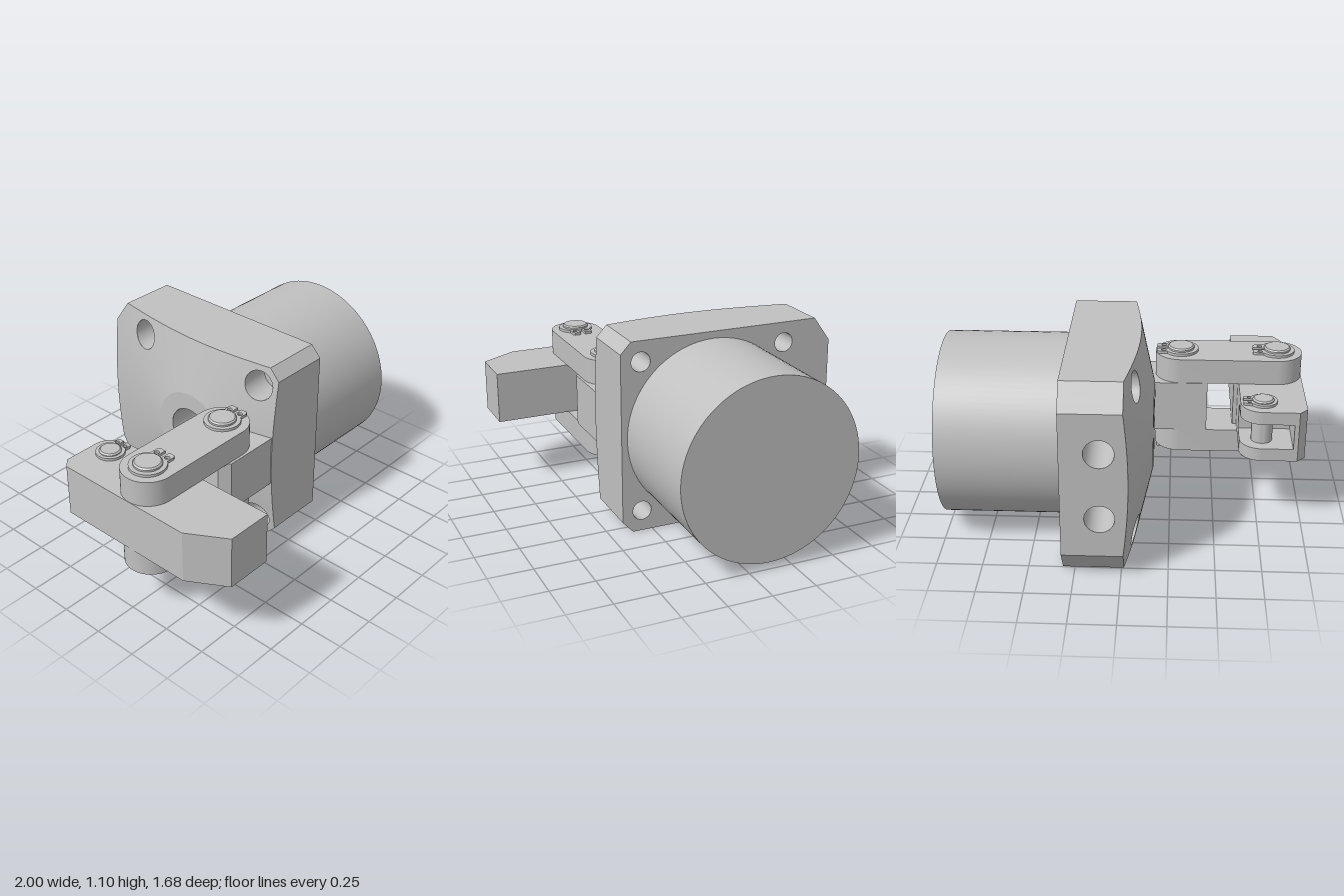
import * as THREE from 'three';
import { toCreasedNormals } from 'three/addons/utils/BufferGeometryUtils.js';

const steel = new THREE.MeshStandardMaterial({ color: 0xc0c0c0, side: THREE.DoubleSide });
steel.name = 'steel';

function add(parent, name, geometry) {
  const mesh = new THREE.Mesh(geometry, steel);
  mesh.name = name;
  parent.add(mesh);
  return mesh;
}

const polygon = pts => new THREE.Shape(pts.map(p => new THREE.Vector2(...p)));
const circle = (x, y, r) => new THREE.Path().absarc(x, y, r, 0, Math.PI * 2);

// Upright prism from an outline in x and z
function slab(shape, y0, y1) {
  const g = new THREE.ExtrudeGeometry(shape, { depth: y1 - y0, bevelEnabled: false, curveSegments: 24 });
  g.rotateX(Math.PI / 2).translate(0, y1, 0);
  return toCreasedNormals(g, 0.5);
}

// Geometry from a list of four-cornered faces
function quadGeometry(quads, crease) {
  const pos = [];
  for (const [a, b, c, d] of quads) for (const p of [a, b, c, a, c, d]) pos.push(p.x, p.y, p.z);
  const g = new THREE.BufferGeometry();
  g.setAttribute('position', new THREE.Float32BufferAttribute(pos, 3));
  return toCreasedNormals(g, crease);
}

// Flange: u runs along -z, v along y, polar around the body axis
const U = 0.118, V = 0.55, BACK = 0.315;
const FLAT = 0.24, BORE = 0.14, WIDE = 0.085, NARROW = 0.055, STEP = 0.08;
const OUTLINE = [[-0.425, 0.065], [-0.365, 0], [0.745, 0], [0.842, 0.135],
  [0.842, 0.965], [0.745, 1.1], [-0.365, 1.1], [-0.425, 1.035]];
const BOLTS = [[-0.31, 0.12], [0.55, 0.12], [0.55, 0.983], [-0.31, 0.983]];

const faceX = r => -0.155 + 0.24 * Math.max(0, r - FLAT);
const point = (u, v, x) => new THREE.Vector3(x ?? faceX(Math.hypot(u - U, v - V)), v, -u);
const polar = (t, r, x) => point(U + r * Math.cos(t), V + r * Math.sin(t), x);

// Distance from the axis to the outline in a given direction
function reach(t) {
  let best = Infinity;
  OUTLINE.forEach(([u, v], i) => {
    const [u2, v2] = OUTLINE[(i + 1) % OUTLINE.length];
    const nu = v2 - v, nv = u - u2;
    const along = nu * Math.cos(t) + nv * Math.sin(t);
    if (along > 1e-9) best = Math.min(best, (nu * (u - U) + nv * (v - V)) / along);
  });
  return best;
}

function buildFlange() {
  const flange = new THREE.Group();
  flange.name = 'flange';
  const TAU = Math.PI * 2;
  const norm = t => (t + TAU) % TAU;
  const holes = BOLTS.map(([u, v]) => {
    const d = Math.hypot(u - U, v - V);
    return { t: norm(Math.atan2(v - V, u - U)), d, half: Math.asin(WIDE / d) };
  });

  // Directions: even steps, outline corners and bolt hole edges
  let angles = [];
  for (let i = 0; i < 96; i++) angles.push(i / 96 * TAU);
  for (const [u, v] of OUTLINE) angles.push(norm(Math.atan2(v - V, u - U)));
  for (const h of holes)
    for (let k = -8; k <= 8; k++) angles.push(h.t + h.half * Math.sin(k / 16 * Math.PI));
  angles.sort((a, b) => a - b);
  angles = angles.filter((t, i) => i === 0 || t - angles[i - 1] > 1e-6);
  angles.push(TAU);

  // Conical face, leaving out the bolt holes, and the outer walls
  const face = [], walls = [], portEdge = [];
  for (let i = 0; i + 1 < angles.length; i++) {
    const a = angles[i], b = angles[i + 1], mid = (a + b) / 2;
    const ring = (ra, rb, sa, sb) => face.push([polar(a, ra), polar(b, rb), polar(b, sb), polar(a, sa)]);
    const ea = reach(a), eb = reach(b);
    ring(BORE, BORE, FLAT, FLAT);
    const h = holes.find(o => Math.abs(mid - o.t) < o.half);
    if (h) {
      const cut = (t, s) => {
        const q = h.d * Math.sin(t - h.t);
        return h.d * Math.cos(t - h.t) + s * Math.sqrt(Math.max(0, WIDE * WIDE - q * q));
      };
      ring(FLAT, FLAT, cut(a, -1), cut(b, -1));
      ring(cut(a, 1), cut(b, 1), ea, eb);
    } else ring(FLAT, FLAT, ea, eb);
    const fa = polar(a, ea), fb = polar(b, eb);
    if (fa.z < -0.8415 && fb.z < -0.8415) portEdge.push(fa, fb);
    else walls.push([fa, fb, polar(b, eb, BACK), polar(a, ea, BACK)]);
  }
  add(flange, 'flangeConeFace', quadGeometry(face, 0.2));
  add(flange, 'flangeRim', quadGeometry(walls, 0.2));

  // Mounting face behind
  const back = polygon(OUTLINE);
  for (const [u, v] of BOLTS) back.holes.push(circle(u, v, NARROW));
  add(flange, 'flangeBackFace', new THREE.ShapeGeometry(back, 24).rotateY(Math.PI / 2).translate(BACK, 0, 0));

  // Side face with two blind ports
  portEdge.sort((a, b) => a.y - b.y);
  const side = polygon([[-BACK, 0.135], ...portEdge.map(p => [-p.x, p.y]), [-BACK, 0.965]]);
  for (const y of [0.36, 0.74]) {
    side.holes.push(circle(-0.11, y, 0.08));
    const port = add(flange, 'portBore', new THREE.CylinderGeometry(0.08, 0.08, 0.3, 32, 1, true).rotateX(Math.PI / 2));
    port.position.set(0.11, y, -0.692);
    add(flange, 'portFloor', new THREE.CircleGeometry(0.08, 32).rotateY(Math.PI)).position.set(0.11, y, -0.542);
  }
  add(flange, 'portFace', new THREE.ShapeGeometry(side, 24).rotateY(Math.PI).translate(0, 0, -0.842));

  // Inner wall of a round hole running along x
  const bore = (u, v, r, x0, x1) => {
    const quads = [];
    for (let i = 0; i < 32; i++) {
      const [p, q] = [i, i + 1].map(k => [u + r * Math.cos(k / 32 * TAU), v + r * Math.sin(k / 32 * TAU)]);
      quads.push([point(...p, x0), point(...p, x1), point(...q, x1), point(...q, x0)]);
    }
    return quadGeometry(quads, 0.5);
  };
  for (const [u, v] of BOLTS) {
    add(flange, 'boltCounterbore', bore(u, v, WIDE, undefined, STEP));
    add(flange, 'boltSeat', new THREE.RingGeometry(NARROW, WIDE, 32).rotateY(-Math.PI / 2)).position.set(STEP, v, -u);
    add(flange, 'boltHole', bore(u, v, NARROW, STEP, BACK));
  }
  add(flange, 'centreBore', bore(U, V, BORE, undefined, 0.25));
  add(flange, 'centreBoreFloor', new THREE.CircleGeometry(BORE, 32).rotateY(-Math.PI / 2)).position.set(0.25, V, -U);
  return flange;
}

// Pin with an open retaining clip at both ends
function buildPin(name, x, z, size, halfLength, clipHeight) {
  const pin = new THREE.Group();
  pin.name = name;
  pin.position.set(x, V, z);
  const r = 0.076 * size, c = 0.008;
  const profile = [[0, -halfLength], [r - c, -halfLength], [r, c - halfLength],
    [r, halfLength - c], [r - c, halfLength], [0, halfLength]].map(p => new THREE.Vector2(...p));
  add(pin, 'pinShaft', toCreasedNormals(new THREE.LatheGeometry(profile, 40), 0.5));

  const s = size, clip = new THREE.Shape();
  clip.moveTo(0.14 * s, 0.014 * s).lineTo(0.14 * s, 0.05 * s).lineTo(0.125 * s, 0.06 * s);
  clip.absarc(0, 0, 0.1 * s, 0.64, Math.PI * 2 - 0.64);
  clip.lineTo(0.125 * s, -0.06 * s).lineTo(0.14 * s, -0.05 * s).lineTo(0.14 * s, -0.014 * s);
  clip.absarc(0, 0, 0.073 * s, -0.19, 0.19, true);
  for (const k of [-1, 1]) clip.holes.push(circle(0.1 * s, 0.037 * s * k, 0.014 * s));
  add(pin, 'topClip', slab(clip, clipHeight, clipHeight + 0.015));
  add(pin, 'bottomClip', slab(clip, -clipHeight - 0.015, -clipHeight));
  return pin;
}

export function createModel() {
  const model = new THREE.Group();
  model.name = 'leverClampCylinder';
  model.add(buildFlange());

  // Round body
  add(model, 'body', new THREE.CylinderGeometry(0.51, 0.51, 0.685, 96).rotateZ(Math.PI / 2))
    .position.set(0.6575, V, -U);

  // Lug holding the links
  add(model, 'lug', slab(polygon([[0, 0.11], [-0.455, 0.11], [-0.455, 0.37], [-0.405, 0.42], [0, 0.42]]), 0.4, 0.7));

  // Pair of links
  const link = new THREE.Shape();
  link.absarc(-0.3, 0.26, 0.146, -Math.PI / 2, Math.PI / 2);
  link.absarc(-0.852, 0.26, 0.146, Math.PI / 2, Math.PI * 1.5);
  link.closePath();
  add(model, 'upperLink', slab(link, 0.7, 0.845));
  add(model, 'lowerLink', slab(link, 0.26, 0.4));

  // Clamp arm: two solid layers around one with a pocket at the rear
  const arm = new THREE.Group();
  arm.name = 'clampArm';
  const front = s => s.lineTo(-0.635, 0.2).lineTo(-0.61, 0.2).lineTo(-0.61, 0.84)
    .lineTo(-0.875, 0.84).lineTo(-1, 0.63).lineTo(-1, -0.205).lineTo(-0.955, -0.25);
  const solid = new THREE.Shape();
  solid.moveTo(-0.955, -0.25).lineTo(-0.755, -0.25);
  solid.absarc(-0.755, -0.13, 0.12, -Math.PI / 2, 0);
  front(solid);
  const pocket = new THREE.Shape();
  pocket.moveTo(-0.93, -0.25).lineTo(-0.93, 0).lineTo(-0.635, 0);
  front(pocket);
  add(arm, 'armBottom', slab(solid, 0.4, 0.475));
  add(arm, 'armMiddle', slab(pocket, 0.475, 0.625));
  add(arm, 'armTop', slab(solid, 0.625, 0.7));
  model.add(arm);

  // Pins
  model.add(buildPin('lugPin', -0.3, 0.26, 1, 0.328, 0.295));
  model.add(buildPin('armPin', -0.855, 0.26, 1, 0.328, 0.295));
  model.add(buildPin('rearPin', -0.76, -0.125, 0.79, 0.18, 0.152));
  return model;
}
